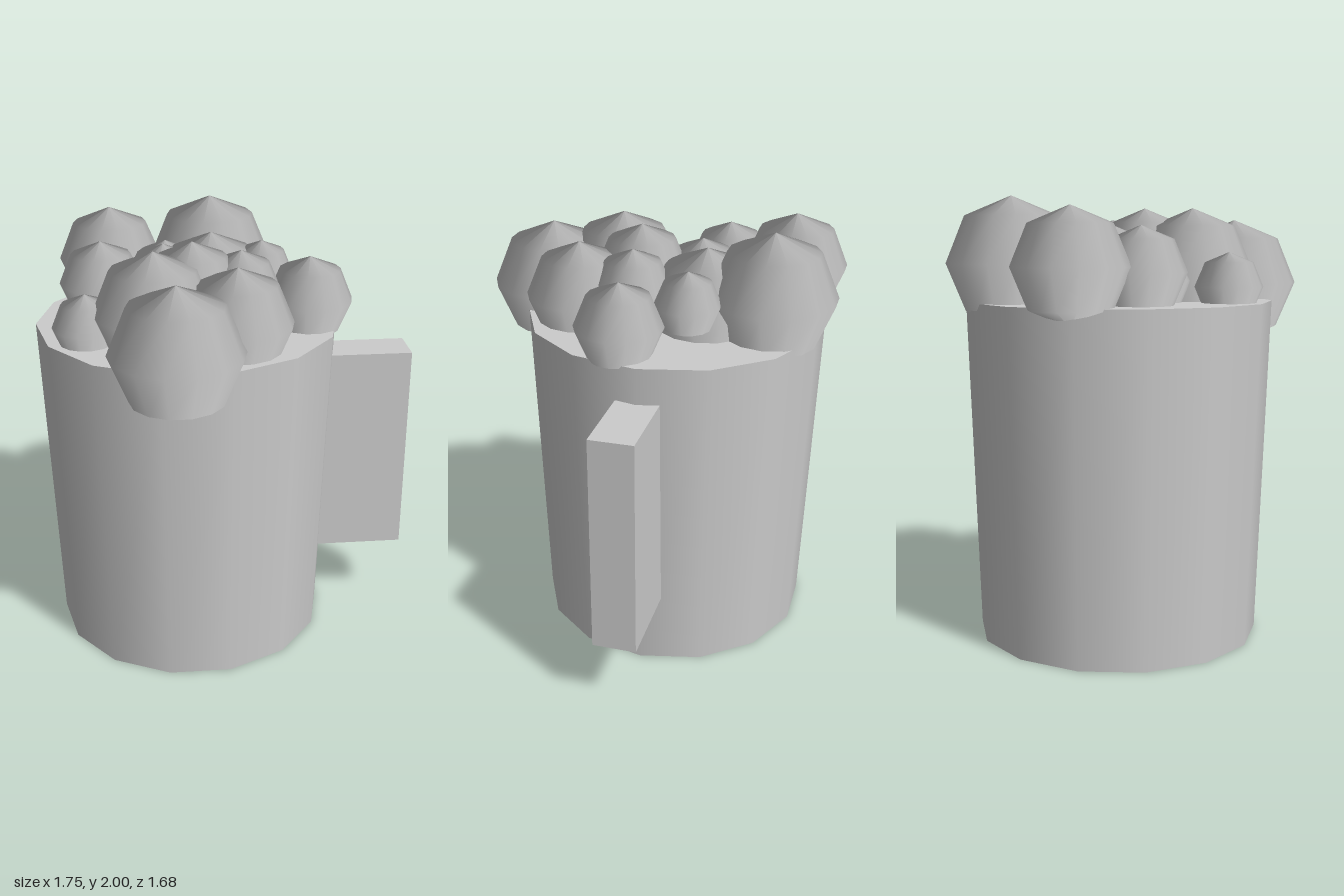
import * as THREE from 'three';

const SIDES = 14;

// Faceted bubble: a tube pulled into a ball, keeping its sideways-facing normals
function bubbleGeometry() {
  const g = new THREE.CylinderGeometry(1, 1, 2, SIDES, 4, true, Math.PI / 2);
  const p = g.attributes.position;
  for (let i = 0; i < p.count; i++) {
    const a = (p.getY(i) * Math.PI) / 2;
    const c = Math.max(Math.cos(a), 0);
    p.setXYZ(i, p.getX(i) * c, Math.sin(a), p.getZ(i) * c);
  }
  return g;
}

export function createModel() {
  const model = new THREE.Group();
  model.name = 'mug';
  const grey = new THREE.MeshStandardMaterial({ color: 0xcccccc });
  grey.name = 'light grey';

  // Solid tapered cup
  const cup = new THREE.Mesh(
    new THREE.CylinderGeometry(0.7, 0.648, 1.535, SIDES, 1, false, Math.PI / 2), grey);
  cup.name = 'cup';
  cup.position.set(-0.18, 0.7675, -0.08);
  model.add(cup);

  // Block handle, its inner end sunk into the cup wall
  const handle = new THREE.Mesh(new THREE.BoxGeometry(0.475, 1.02, 0.2), grey);
  handle.name = 'handle';
  handle.position.set(0.6375, 0.855, -0.08);
  model.add(handle);

  // Foam bubbles: x, top y, z, radius
  const foam = new THREE.Group();
  foam.name = 'foam';
  const bubble = bubbleGeometry();
  const bubbles = [
    [-0.526, 1.95, -0.575, 0.25],
    [-0.035, 2.0, -0.555, 0.295],
    [-0.264, 1.83, -0.388, 0.19],
    [-0.572, 1.87, -0.248, 0.197],
    [-0.283, 1.87, -0.178, 0.18],
    [-0.054, 1.9, -0.252, 0.27],
    [0.18, 1.863, -0.22, 0.15],
    [-0.423, 1.78, -0.047, 0.15],
    [-0.643, 1.755, 0.182, 0.15],
    [-0.343, 1.95, 0.224, 0.273],
    [-0.166, 1.95, 0.084, 0.22],
    [0.054, 1.9, 0.065, 0.18],
    [0.012, 1.9, 0.33, 0.247],
    [0.37, 1.855, 0.037, 0.198],
    [-0.264, 1.9, 0.55, 0.294],
  ];
  bubbles.forEach(([x, top, z, r], i) => {
    const m = new THREE.Mesh(bubble, grey);
    m.name = `foamBubble${i + 1}`;
    m.position.set(x, top - r, z);
    m.scale.setScalar(r);
    foam.add(m);
  });
  model.add(foam);
  return model;
}
